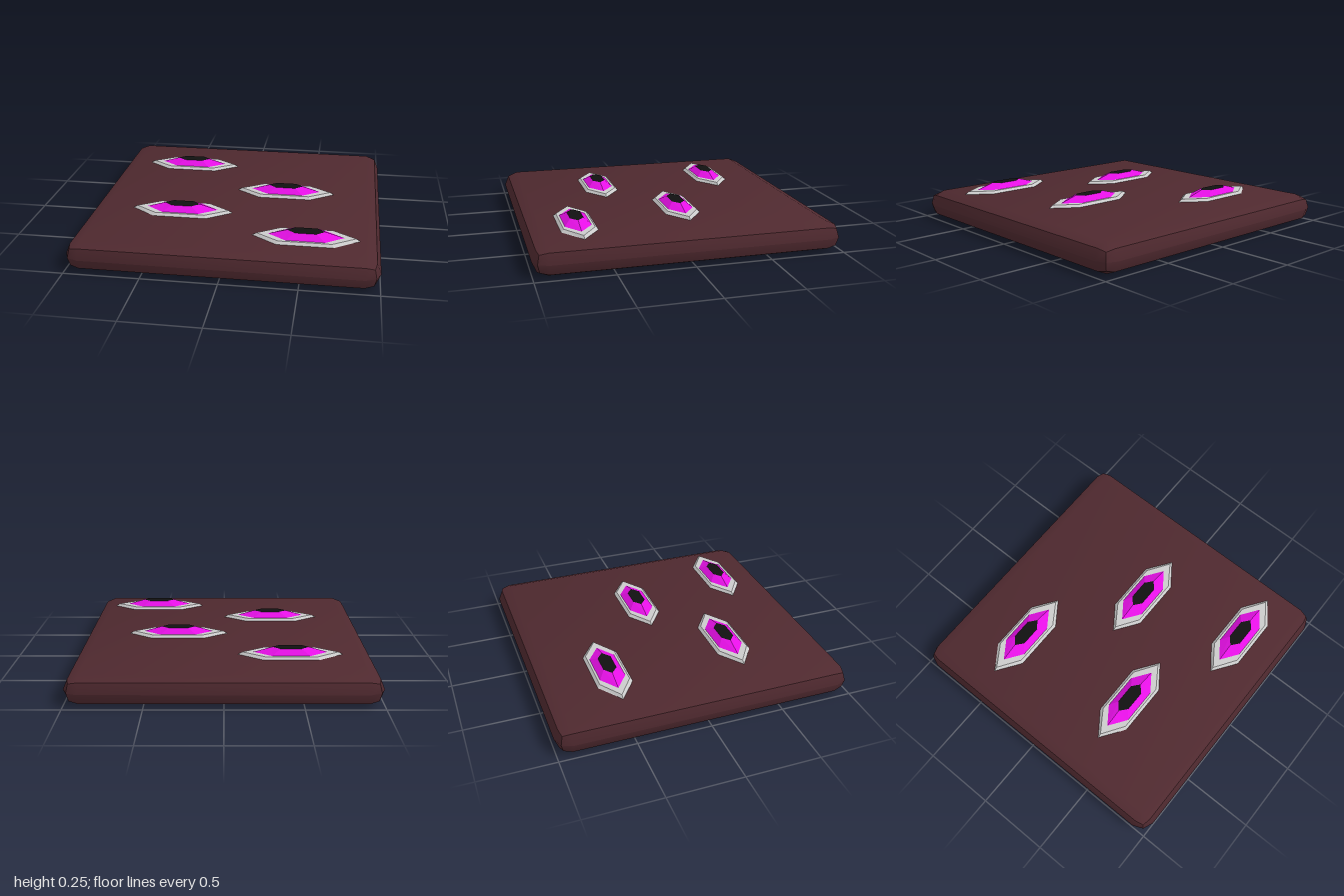
import * as THREE from 'three';
import { RoundedBoxGeometry } from 'three/addons/geometries/RoundedBoxGeometry.js';
import { toCreasedNormals } from 'three/addons/utils/BufferGeometryUtils.js';

const paint = (color) => new THREE.MeshStandardMaterial({ color });

// Stretched hexagon: tip half-length, flat half-length, half-depth, height
function hexRing([tip, flat, depth, y]) {
  return [[tip, 0], [flat, depth], [-flat, depth], [-tip, 0], [-flat, -depth], [flat, -depth]]
    .map(([x, z]) => [x, y, z]);
}

// Faceted sides between two hexagons
function hexSides(lower, upper) {
  const a = hexRing(lower), b = hexRing(upper), pos = [];
  for (let i = 0; i < 6; i++) {
    const j = (i + 1) % 6;
    pos.push(...a[i], ...b[i], ...b[j], ...a[i], ...b[j], ...a[j]);
  }
  return pos;
}

// Flat upward-facing hexagon
function hexCap(section) {
  const r = hexRing(section), pos = [];
  for (let i = 0; i < 6; i++) pos.push(0, section[3], 0, ...r[(i + 1) % 6], ...r[i]);
  return pos;
}

function part(name, positions, material) {
  const geo = new THREE.BufferGeometry();
  geo.setAttribute('position', new THREE.Float32BufferAttribute(positions, 3));
  geo.computeVertexNormals();
  const mesh = new THREE.Mesh(geo, material);
  mesh.name = name;
  return mesh;
}

export function createModel() {
  const group = new THREE.Group();
  group.name = 'slabWithEyes';

  // Slab with two-step bevelled edges
  const H = 0.195;
  const slabGeo = toCreasedNormals(new RoundedBoxGeometry(2, H, 2, 1, H / 2), 0.6);
  const slab = new THREE.Mesh(slabGeo, paint(0x4f292f));
  slab.name = 'slab';
  slab.position.y = H / 2;
  group.add(slab);

  // Eyes: bevelled rim, sloped iris, flat pupil
  const rimMat = paint(0xcccccc), irisMat = paint(0xe610e6), pupilMat = paint(0x111111);
  const rimLow = [0.355, 0.183, 0.122, 0.19];
  const rimTop = [0.32, 0.17, 0.1, 0.212];
  const irisLow = [0.245, 0.125, 0.085, 0.212];
  const irisTop = [0.122, 0.07, 0.043, 0.247];
  const centres = [[-0.44, -0.52], [0.325, -0.06], [-0.35, 0.355], [0.52, 0.67]];
  for (const [x, z] of centres) {
    const eye = new THREE.Group();
    eye.name = 'eye';
    eye.position.set(x, 0, z);
    eye.add(
      part('rim', [...hexSides(rimLow, rimTop), ...hexSides(rimTop, irisLow)], rimMat),
      part('iris', hexSides(irisLow, irisTop), irisMat),
      part('pupil', hexCap(irisTop), pupilMat)
    );
    group.add(eye);
  }
  return group;
}
